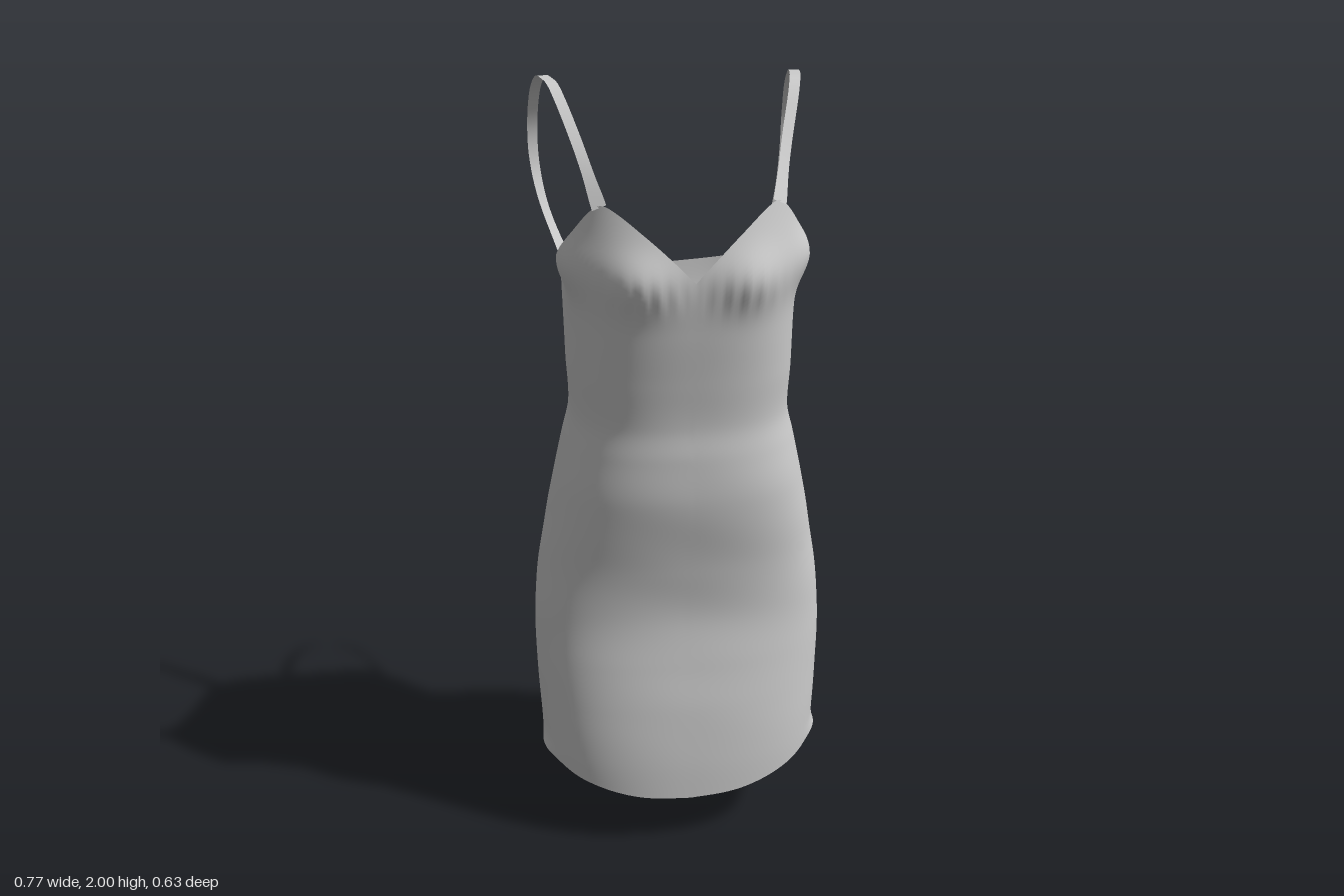
import * as THREE from 'three';

// Smooth interpolation through rows [key, v1, v2, ...]
function sample(rows, k) {
  const n = rows.length - 1;
  k = Math.min(Math.max(k, rows[0][0]), rows[n][0]);
  let i = 0;
  while (i < n - 1 && k > rows[i + 1][0]) i++;
  const a = rows[i], b = rows[i + 1], h = b[0] - a[0], u = (k - a[0]) / h;
  const slope = (j, c) => {
    const p = rows[Math.max(j - 1, 0)], q = rows[Math.min(j + 1, n)];
    return (q[c] - p[c]) / (q[0] - p[0]);
  };
  return a.slice(1).map((v, m) => {
    const c = m + 1, u2 = u * u, u3 = u2 * u;
    return v * (2 * u3 - 3 * u2 + 1) + b[c] * (3 * u2 - 2 * u3)
      + h * (slope(i, c) * (u3 - 2 * u2 + u) + slope(i + 1, c) * (u3 - u2));
  });
}

// Body sections: height, half width, front z, back z, front squareness, back squareness
const SECTIONS = [
  [0.00, 0.365, 0.250, -0.222, 2.2, 2.0],
  [0.12, 0.368, 0.250, -0.197, 2.3, 2.1],
  [0.25, 0.372, 0.247, -0.166, 2.5, 2.3],
  [0.40, 0.379, 0.236, -0.197, 2.5, 2.4],
  [0.52, 0.383, 0.221, -0.265, 2.5, 2.5],
  [0.66, 0.378, 0.207, -0.317, 2.6, 2.6],
  [0.80, 0.359, 0.222, -0.297, 2.5, 2.6],
  [1.00, 0.322, 0.257, -0.231, 2.5, 2.6],
  [1.12, 0.295, 0.260, -0.178, 2.5, 2.8],
  [1.20, 0.277, 0.256, -0.160, 2.6, 3.0],
  [1.32, 0.280, 0.270, -0.176, 2.7, 3.4],
  [1.45, 0.281, 0.288, -0.200, 2.7, 4.2],
  [1.58, 0.284, 0.298, -0.208, 2.7, 4.5],
  [1.67, 0.288, 0.282, -0.208, 2.7, 4.5],
  [1.76, 0.285, 0.260, -0.208, 2.7, 4.5],
];

// Edge heights by angle: 0 is centre front, 1 is centre back
const HEM = [[0, 0.14], [0.12, 0.15], [0.25, 0.187], [0.36, 0.228], [0.45, 0.247],
  [0.55, 0.215], [0.7, 0.125], [0.85, 0.05], [1, 0]];
const NECK = [[0, 1.58], [0.06, 1.635], [0.12, 1.685], [0.19, 1.735], [0.235, 1.75], [0.28, 1.724],
  [0.34, 1.668], [0.4, 1.608], [0.46, 1.585], [0.6, 1.555], [0.73, 1.53], [0.85, 1.51], [1, 1.5]];

const bell = (d, r) => Math.exp(-(d * d) / (r * r));

function bodyPoint(angle, v) {
  const a = Math.abs(angle) / Math.PI;
  const y = THREE.MathUtils.lerp(sample(HEM, a)[0], sample(NECK, a)[0], v);
  const [w, zf, zb, nf, nb] = sample(SECTIONS, y);
  const s = Math.sin(angle), c = Math.cos(angle), n = c > 0 ? nf : nb;
  const r = Math.pow(Math.abs(s) ** n + Math.abs(c) ** n, -1 / n);
  const zc = 0.02;
  let x = w * r * s;
  let z = zc + (c > 0 ? zf - zc : zc - zb) * r * c;
  if (z > 0) {
    // Bust cups, their outer fullness and gathers along the under-bust seam
    const ax = Math.abs(x);
    z += 0.028 * bell(ax - 0.145, 0.085) * bell(y - 1.58, 0.07);
    const side = bell(z - 0.15, 0.09) * bell(y - 1.6, 0.065) * bell(ax - 0.27, 0.08);
    const gathers = Math.sin(a * 150) * 0.003 * bell(y - 1.55, 0.035);
    x += Math.sign(x) * 0.032 * side;
    z += gathers * bell(ax - 0.13, 0.1);
  }
  // Soft horizontal creases and a small flare of the hem at the side seams
  const crease = 0.0015 * Math.sin(y * 34 + 3 * Math.sin(angle * 2)) * bell(y - 0.75, 0.5);
  const flare = 0.012 * bell(a - 0.42, 0.06) * bell(y - 0.23, 0.03);
  const k = 1 + crease + flare / w;
  return [x * k, y, z * k];
}

function bodyGeometry() {
  const around = 180, up = 110, pos = [], index = [];
  for (let j = 0; j <= up; j++) {
    for (let i = 0; i < around; i++) pos.push(...bodyPoint((i / around * 2 - 1) * Math.PI, j / up));
  }
  for (let j = 0; j < up; j++) {
    for (let i = 0; i < around; i++) {
      const a = j * around + i, b = j * around + (i + 1) % around;
      index.push(a, b, b + around, a, b + around, a + around);
    }
  }
  return toGeometry(pos, index);
}

function toGeometry(pos, index) {
  const g = new THREE.BufferGeometry();
  g.setAttribute('position', new THREE.Float32BufferAttribute(pos, 3));
  g.setIndex(index);
  g.computeVertexNormals();
  return g;
}

// Flat ribbon over the shoulder, joined to the neckline at the cup peak and back corner
const STRAP = [bodyPoint(0.237 * Math.PI, 0.997), [0.246, 1.865, 0.118], [0.28, 1.963, 0.03],
  [0.293, 1.992, -0.015], [0.303, 1.999, -0.06], [0.312, 1.996, -0.12], [0.322, 1.95, -0.2],
  [0.328, 1.86, -0.248], [0.326, 1.77, -0.252], [0.308, 1.665, -0.225], bodyPoint(0.73 * Math.PI, 0.99)];

function strapGeometry(side) {
  const curve = new THREE.CatmullRomCurve3(STRAP.map(([x, y, z]) => new THREE.Vector3(x * side, y, z)));
  const steps = 70, pos = [], index = [];
  for (let i = 0; i <= steps; i++) {
    const u = i / steps, p = curve.getPoint(u), t = curve.getTangent(u);
    // Ends widen slightly and turn to lie along the neckline
    const half = 0.013 + 0.005 * Math.max(bell(u, 0.04), bell(u - 1, 0.04));
    const turn = -0.5 * bell(u, 0.1) + 0.9 * bell(u - 1, 0.2);
    const across = new THREE.Vector3(side, 0, turn);
    across.addScaledVector(t, -across.dot(t)).setLength(half);
    const l = p.clone().sub(across), r = p.clone().add(across);
    pos.push(l.x, l.y, l.z, r.x, r.y, r.z);
    if (i < steps) {
      const a = i * 2;
      index.push(a, a + 1, a + 3, a, a + 3, a + 2);
    }
  }
  return toGeometry(pos, index);
}

export function createModel() {
  const group = new THREE.Group();
  group.name = 'dress';
  const cloth = new THREE.MeshStandardMaterial({ color: 0xcccccc, side: THREE.DoubleSide });
  const add = (name, geometry) => {
    const mesh = new THREE.Mesh(geometry, cloth);
    mesh.name = name;
    group.add(mesh);
  };
  add('dressBody', bodyGeometry());
  add('leftStrap', strapGeometry(1));
  add('rightStrap', strapGeometry(-1));
  return group;
}
